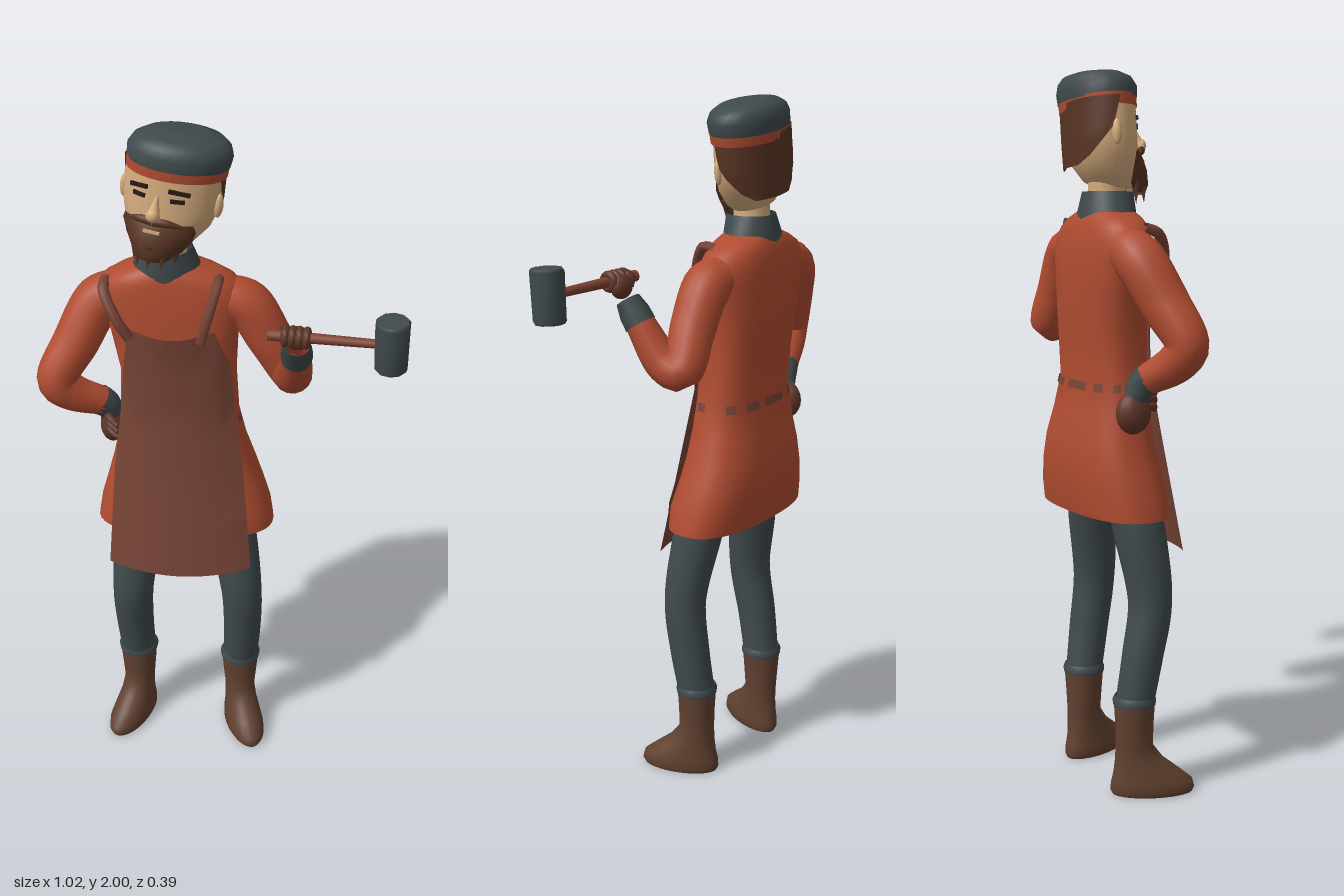
import * as THREE from 'three';

const mat = (name, color, open) => {
  const m = new THREE.MeshStandardMaterial({ color });
  m.name = name;
  if (open) m.side = THREE.DoubleSide;
  return m;
};

// Stacks elliptical sections [y, cx, rx, cz, rz, halfArc?] from bottom to top, angle 0 facing +z
function loft(sections, { n = 2, sides = 28, mid = 0, bottom = false, top = false } = {}) {
  const pos = [], idx = [], row = sides + 1;
  const shape = (v) => Math.sign(v) * Math.abs(v) ** (2 / n);
  const full = sections[0][5] === undefined;
  const stride = full ? sides : row;
  const ring = ([y, cx, rx, cz, rz, arc = Math.PI]) => {
    for (let j = 0; j < stride; j++) {
      const a = mid - arc + (2 * arc * j) / sides;
      pos.push(cx + rx * shape(Math.sin(a)), y, cz + rz * shape(Math.cos(a)));
    }
  };
  sections.forEach(ring);
  for (let i = 0; i < sections.length - 1; i++)
    for (let j = 0; j < sides; j++) {
      const a = i * stride + j, b = i * stride + ((j + 1) % stride);
      idx.push(a, b, b + stride, a, b + stride, a + stride);
    }
  const cap = (s, up) => {
    const base = pos.length / 3;
    ring(s);
    pos.push(s[1], s[0], s[3]);
    for (let j = 0; j < sides; j++) {
      const a = base + j, b = base + ((j + 1) % stride), c = base + stride;
      up ? idx.push(c, a, b) : idx.push(c, b, a);
    }
  };
  if (bottom) cap(sections[0], false);
  if (top) cap(sections.at(-1), true);
  const g = new THREE.BufferGeometry();
  g.setAttribute('position', new THREE.Float32BufferAttribute(pos, 3));
  g.setIndex(idx);
  g.computeVertexNormals();
  return g;
}

// Tube whose radius varies along points [x, y, z, r]
function limb(pts, radial = 14, steps = 24) {
  const curve = new THREE.CatmullRomCurve3(pts.map((p) => new THREE.Vector3(p[0], p[1], p[2])));
  const g = new THREE.TubeGeometry(curve, steps, 1, radial, false);
  const p = g.attributes.position, v = new THREE.Vector3();
  for (let i = 0; i <= steps; i++) {
    const c = curve.getPointAt(i / steps);
    const t = curve.getUtoTmapping(i / steps) * (pts.length - 1);
    const k = Math.min(Math.floor(t), pts.length - 2);
    const r = THREE.MathUtils.lerp(pts[k][3], pts[k + 1][3], t - k);
    for (let j = 0; j <= radial; j++) {
      const o = i * (radial + 1) + j;
      v.fromBufferAttribute(p, o).sub(c).multiplyScalar(r).add(c);
      p.setXYZ(o, v.x, v.y, v.z);
    }
  }
  return g;
}

// Linear lookup in rows whose first entry is a rising y
function rowAt(rows, y) {
  let i = 0;
  while (i < rows.length - 2 && y > rows[i + 1][0]) i++;
  const t = THREE.MathUtils.clamp((y - rows[i][0]) / (rows[i + 1][0] - rows[i][0]), 0, 1);
  return rows[i].map((v, k) => THREE.MathUtils.lerp(v, rows[i + 1][k], t));
}

const TUNIC = [
  [0.80, -0.1, 0.262, -0.055, 0.122], [0.86, -0.1, 0.252, -0.06, 0.128], [0.93, -0.102, 0.23, -0.071, 0.122],
  [1.0, -0.105, 0.208, -0.076, 0.114], [1.08, -0.11, 0.186, -0.072, 0.102], [1.17, -0.115, 0.17, -0.068, 0.09],
  [1.3, -0.118, 0.164, -0.075, 0.095], [1.42, -0.128, 0.178, -0.08, 0.096], [1.5, -0.132, 0.198, -0.08, 0.093],
  [1.55, -0.135, 0.2, -0.08, 0.088], [1.585, -0.138, 0.18, -0.078, 0.082], [1.61, -0.14, 0.135, -0.076, 0.076],
  [1.63, -0.142, 0.08, -0.075, 0.065],
];
const TUNIC_N = 2.5;

export function createModel() {
  const model = new THREE.Group();
  const red = mat('red cloth', 0xb04c31, true), grey = mat('dark grey cloth', 0x3f494b, true);
  const leather = mat('apron leather', 0x764335, true), boot = mat('boot leather', 0x614130);
  const skin = mat('skin', 0xd6ac7e), hair = mat('brown hair', 0x583423, true);
  const glove = mat('glove', 0x613728), wood = mat('handle wood', 0x7e4232), dark = mat('eye dark', 0x261b16);
  const add = (parent, name, geo, material, x = 0, y = 0, z = 0) => {
    const m = new THREE.Mesh(geo, material);
    m.name = name;
    m.position.set(x, y, z);
    parent.add(m);
    return m;
  };

  // Legs and boots
  const legs = [
    { side: 'right', yaw: -0.38, x: -0.26, z: -0.048, path: [[-0.2, 0.9, -0.04, 0.075], [-0.24, 0.74, -0.02, 0.073],
      [-0.262, 0.55, 0, 0.062], [-0.265, 0.4, -0.025, 0.058], [-0.26, 0.26, -0.048, 0.054]] },
    { side: 'left', yaw: 0.34, x: 0.068, z: -0.036, path: [[0.01, 0.9, -0.04, 0.075], [0.045, 0.74, -0.018, 0.071],
      [0.073, 0.55, 0.002, 0.061], [0.075, 0.4, -0.015, 0.058], [0.068, 0.26, -0.036, 0.054]] },
  ];
  for (const l of legs) {
    add(model, l.side + 'TrouserLeg', limb(l.path, 18), grey);
    add(model, l.side + 'TrouserCuff', loft([[0.262, 0, 0.06, 0, 0.06], [0.275, 0, 0.062, 0, 0.061],
      [0.288, 0, 0.055, 0, 0.055]]), grey, l.x, 0, l.z);
    const b = add(model, l.side + 'Boot', loft([
      [0, 0, 0.052, 0.052, 0.114], [0.012, 0, 0.058, 0.052, 0.12], [0.035, 0, 0.058, 0.05, 0.116],
      [0.065, 0, 0.053, 0.035, 0.094], [0.1, 0, 0.048, 0.014, 0.069], [0.14, 0, 0.046, 0, 0.053],
      [0.2, 0, 0.052, 0, 0.054], [0.27, 0, 0.058, 0, 0.058]], { bottom: true, top: true }), boot, l.x, 0, l.z);
    b.rotation.y = l.yaw;
  }

  // Tunic with closed underside, collar and neck
  add(model, 'tunic', loft(TUNIC, { n: TUNIC_N, sides: 40, bottom: true }), red);
  add(model, 'collar', loft([[1.6, -0.145, 0.102, -0.076, 0.078], [1.63, -0.145, 0.09, -0.074, 0.076],
    [1.68, -0.143, 0.068, -0.07, 0.07]]), grey);
  add(model, 'neck', new THREE.CylinderGeometry(0.05, 0.052, 0.16, 18), skin, -0.142, 1.69, -0.072);

  // Belt showing in short stretches around the waist
  for (const [mid, arc] of [[1.4, 0.12], [2.2, 0.14], [2.75, 0.16], [3.25, 0.2], [3.8, 0.12], [4.3, 0.1]]) {
    const rows = [1.145, 1.168].map((y) => {
      const [, cx, rx, cz, rz] = rowAt(TUNIC, y);
      return [y, cx, rx + 0.004, cz, rz + 0.004, arc];
    });
    add(model, 'beltStretch', loft(rows, { n: TUNIC_N, sides: 6, mid }), leather);
  }

  // Apron: lies on the chest and hangs free below the waist
  const edges = [[0.7, -0.318, 0.102, 0.117], [1.0, -0.3, 0.075, 0.062], [1.2, -0.278, 0.047, 0.032],
    [1.35, -0.264, 0.034, 0.032], [1.45, -0.246, -0.01, 0.045]];
  const apron = new THREE.PlaneGeometry(1, 1, 20, 24), ap = apron.attributes.position;
  for (let i = 0; i < ap.count; i++) {
    const s = ap.getX(i) * 2, h = ap.getY(i) + 0.5;
    const [y0, xl, xr, zc] = rowAt(edges, 0.7 + 0.75 * h);
    const y = y0 + (h > 0.9 ? 0.012 * s * s * (h - 0.9) * 10 : 0) - 0.01 * (1 - s * s) * (1 - h);
    const x = (xl + xr) / 2 + (s * (xr - xl)) / 2;
    const [, cx, rx, cz, rz] = rowAt(TUNIC, y);
    const q = Math.min(1, Math.abs(x - cx) / rx);
    const front = cz + rz * (1 - q ** TUNIC_N) ** (1 / TUNIC_N) + 0.01;
    ap.setXYZ(i, x, y, Math.max(front, zc - 0.045 * s * s));
  }
  apron.computeVertexNormals();
  add(model, 'apron', apron, leather);
  const straps = [[[-0.24, 1.445, 0.032], [-0.272, 1.5, 0.034], [-0.312, 1.57, -0.01], [-0.31, 1.585, -0.05]],
    [[-0.045, 1.445, 0.042], [-0.025, 1.52, 0.036], [-0.002, 1.6, -0.01], [-0.002, 1.595, -0.05]]];
  for (const s of straps) add(model, 'apronStrap', limb(s.map((p) => [...p, 0.015]), 6, 14), leather);

  // Sleeves and cuffs
  add(model, 'rightSleeve', limb([[-0.26, 1.535, -0.085, 0.06], [-0.335, 1.5, -0.08, 0.07], [-0.4, 1.39, -0.04, 0.066],
    [-0.455, 1.28, -0.003, 0.056], [-0.42, 1.235, -0.018, 0.054], [-0.34, 1.185, -0.058, 0.042]], 16, 36), red);
  add(model, 'rightCuff', limb([[-0.35, 1.193, -0.053, 0.044], [-0.33, 1.172, -0.065, 0.042],
    [-0.315, 1.14, -0.078, 0.034]], 14, 8), grey);
  add(model, 'leftSleeve', limb([[-0.02, 1.535, -0.08, 0.055], [0.07, 1.51, -0.075, 0.068], [0.135, 1.41, -0.075, 0.064],
    [0.196, 1.3, -0.078, 0.056], [0.207, 1.318, -0.03, 0.054], [0.217, 1.42, 0.045, 0.041]], 16, 36), red);
  add(model, 'leftCuff', limb([[0.216, 1.415, 0.042, 0.044], [0.217, 1.445, 0.062, 0.043], [0.218, 1.478, 0.084, 0.034]], 14, 8), grey);

  // Right hand resting on the hip
  const ball = (r) => new THREE.SphereGeometry(r, 16, 12);
  add(model, 'rightHand', ball(1), glove, -0.315, 1.095, -0.085).scale.set(0.037, 0.058, 0.05);
  for (let i = 0; i < 3; i++)
    add(model, 'rightFinger', limb([[-0.325, 1.15 - i * 0.02, -0.06, 0.013], [-0.315, 1.15 - i * 0.02, -0.025, 0.012],
      [-0.29, 1.135 - i * 0.02, -0.005, 0.006]], 8, 8), glove);

  // Mallet and the fist holding it
  const mallet = new THREE.Group();
  mallet.name = 'mallet';
  mallet.position.set(0.215, 1.526, 0.126);
  mallet.rotation.y = -0.09;
  model.add(mallet);
  add(mallet, 'malletHandle', new THREE.CylinderGeometry(0.012, 0.016, 0.31, 10), wood, 0.08).rotation.z = -Math.PI / 2;
  const head = loft([[-0.073, 0, 0.041, 0, 0.041], [-0.066, 0, 0.045, 0, 0.045], [0.066, 0, 0.047, 0, 0.047],
    [0.073, 0, 0.042, 0, 0.042]], { sides: 10, bottom: true, top: true });
  const block = add(mallet, 'malletHead', head, grey, 0.25);
  block.rotation.set(0.06, 0, 0.02);
  add(mallet, 'leftPalm', ball(1), glove, 0, -0.015, -0.02).scale.set(0.036, 0.034, 0.024);
  for (let i = 0; i < 4; i++)
    add(mallet, 'leftFinger', new THREE.TorusGeometry(0.02, 0.0105, 8, 16), glove, -0.029 + i * 0.019).rotation.y = Math.PI / 2;
  add(mallet, 'leftThumb', limb([[-0.03, -0.02, -0.02, 0.012], [-0.035, 0.01, -0.02, 0.012], [-0.02, 0.024, 0, 0.007]], 8, 8), glove);

  // Head: flattened front to back, tilted, face turned toward the right
  const tilt = new THREE.Group(), face = new THREE.Group();
  tilt.name = 'head';
  face.name = 'face';
  tilt.position.set(-0.127, 1.825, -0.086);
  tilt.rotation.z = -0.12;
  tilt.scale.z = 0.71;
  face.rotation.y = -0.26;
  tilt.add(face);
  model.add(tilt);
  add(face, 'skull', loft([[-0.14, 0, 0.045, 0.045, 0.06], [-0.115, 0, 0.08, 0.03, 0.095], [-0.07, 0, 0.114, 0.014, 0.116],
    [-0.02, 0, 0.129, 0.003, 0.125], [0.04, 0, 0.132, 0, 0.128], [0.1, 0, 0.128, 0, 0.127]], { bottom: true, top: true }), skin);
  add(face, 'hair', loft([[-0.082, 0, 0.116, -0.012, 0.122, 0.6], [-0.06, 0, 0.124, -0.006, 0.128, 0.95],
    [-0.02, 0, 0.134, -0.002, 0.132, 1.3], [0.01, 0, 0.136, 0, 0.134, 1.55], [0.09, 0, 0.135, 0, 0.133, 1.8]], { mid: Math.PI }), hair);
  add(face, 'beard', loft([[-0.158, 0, 0.045, 0.095, 0.06, 1.5], [-0.135, 0, 0.07, 0.065, 0.102, 1.45], [-0.1, 0, 0.098, 0.04, 0.122, 1.25],
    [-0.07, 0, 0.118, 0.022, 0.126, 1.05], [-0.05, 0, 0.127, 0.012, 0.122, 0.85]]), hair);
  for (let i = -2; i <= 2; i++) {
    const a = i * 0.6;
    const tuft = add(face, 'beardTuft', new THREE.ConeGeometry(0.018, 0.07, 8), hair, Math.sin(a) * 0.06, -0.146, 0.072 + Math.cos(a) * 0.08);
    tuft.rotation.x = Math.PI;
  }

  // Nose, mouth, ears, eyes, brows and moustache
  const nose = add(face, 'nose', new THREE.ConeGeometry(0.02, 0.075, 10), skin, 0, 0, 0.136);
  nose.rotation.x = -0.35;
  add(face, 'noseTip', ball(0.018), skin, 0, -0.027, 0.152);
  add(face, 'mouth', new THREE.BoxGeometry(0.045, 0.008, 0.008), skin, 0, -0.073, 0.148);
  for (const s of [-1, 1]) {
    const on = (name, geo, m, a, y, r) => {
      const p = add(face, name, geo, m, Math.sin(a * s) * r, y, Math.cos(a) * r);
      p.rotation.y = a * s;
      return p;
    };
    on('ear', ball(1), skin, 1.5, -0.005, 0.132).scale.set(0.018, 0.034, 0.012);
    on('eye', new THREE.BoxGeometry(0.038, 0.011, 0.008), dark, 0.42, 0.016, 0.129);
    on('brow', new THREE.BoxGeometry(0.058, 0.011, 0.008), dark, 0.44, 0.04, 0.131).rotation.z = -0.12 * s;
    add(face, 'moustache', limb([[0, -0.047, 0.142, 0.012], [s * 0.035, -0.045, 0.138, 0.012],
      [s * 0.075, -0.054, 0.114, 0.004]], 8, 10), hair);
  }

  // Cap with its red band and a small flat crown set back
  add(face, 'capBand', loft([[0.068, 0.004, 0.134, 0, 0.134], [0.1, 0.005, 0.136, 0, 0.136]]), red);
  add(face, 'cap', loft([[0.094, 0.006, 0.136, 0, 0.137], [0.125, 0.008, 0.139, 0, 0.14], [0.148, 0.01, 0.128, -0.004, 0.129],
    [0.163, 0.012, 0.103, -0.012, 0.105], [0.172, 0.016, 0.055, -0.025, 0.055]], { top: true }), grey);
  return model;
}
